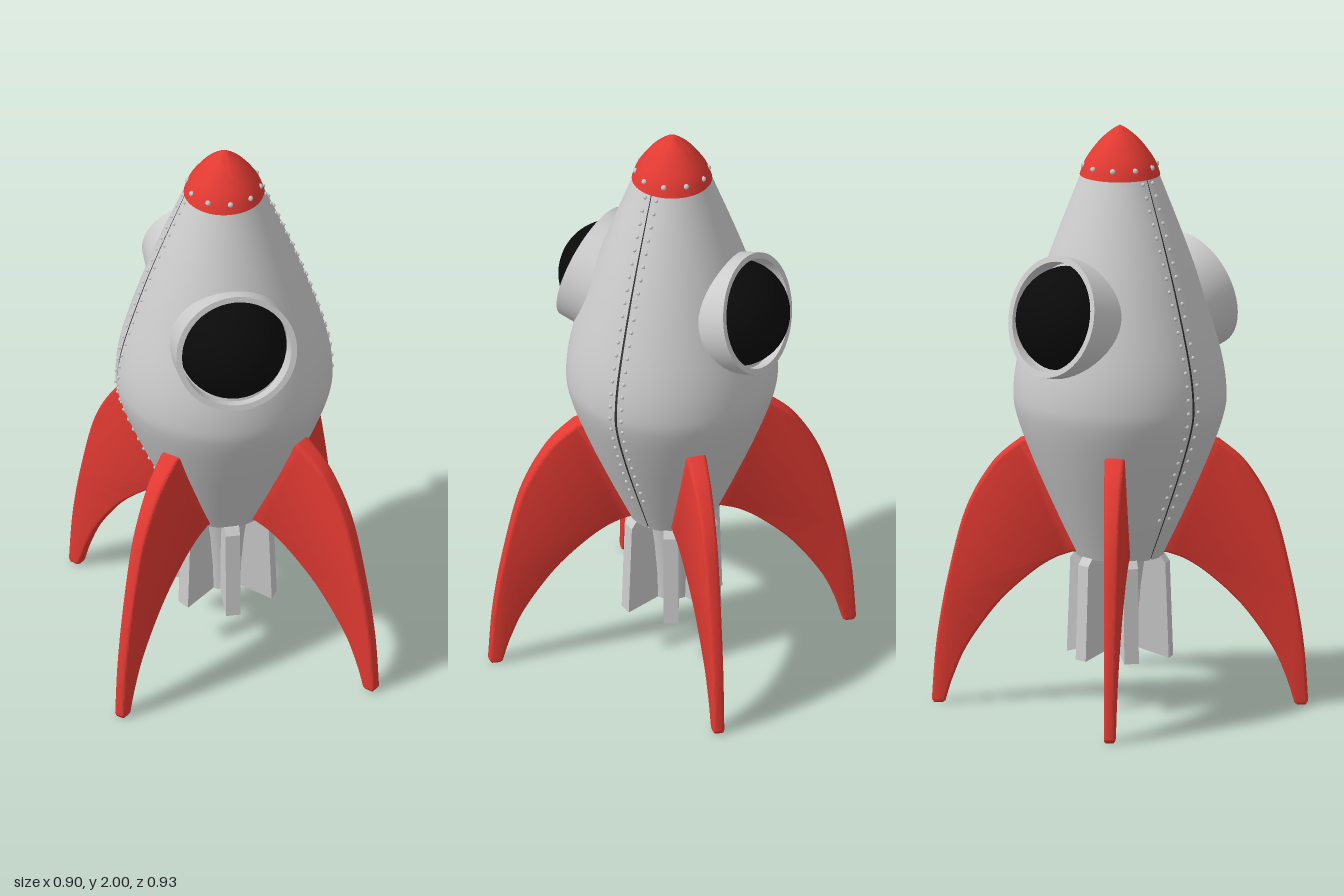
import * as THREE from 'three';
import { mergeGeometries, toCreasedNormals } from 'three/addons/utils/BufferGeometryUtils.js';

const grey = new THREE.MeshStandardMaterial({ color: 0xcccccc });
const greyThin = new THREE.MeshStandardMaterial({ color: 0xcccccc, side: THREE.DoubleSide });
const red = new THREE.MeshStandardMaterial({ color: 0xe23a32 });
const black = new THREE.MeshStandardMaterial({ color: 0x0a0a0a });
const dark = new THREE.MeshStandardMaterial({ color: 0x333333 });

const V = (x, y) => new THREE.Vector2(x, y);
const DEPTH = 0.965; // hull is slightly narrower in z than in x

function add(parent, name, geometry, material) {
  const mesh = new THREE.Mesh(geometry, material);
  mesh.name = name;
  parent.add(mesh);
  return mesh;
}

const hullCurve = new THREE.SplineCurve([
  V(0.15, 0.52), V(0.225, 0.68), V(0.3, 0.85), V(0.355, 1.0), V(0.366, 1.09),
  V(0.347, 1.22), V(0.288, 1.42), V(0.225, 1.6), V(0.135, 1.83),
]);

// Two half shells with a narrow seam, closed by a dark liner
function buildHull(root) {
  const profile = [V(0, 0.52), ...hullCurve.getPoints(40)];
  const gap = 0.012;
  for (const [name, start] of [['frontHull', -Math.PI / 2], ['backHull', Math.PI / 2]]) {
    const g = new THREE.LatheGeometry(profile, 40, start + gap, Math.PI - 2 * gap);
    add(root, name, toCreasedNormals(g, 0.7), greyThin).scale.z = DEPTH;
  }
  const inner = profile.map((p) => V(p.x * 0.97, p.y + 0.003));
  add(root, 'hullLiner', new THREE.LatheGeometry(inner, 48), dark).scale.z = DEPTH;

  // Double row of rivets beside each seam
  const rivets = [];
  for (let i = 0; i < 27; i++) {
    const p = hullCurve.getPointAt(0.12 + (0.87 * i) / 26);
    for (const sx of [-1, 1]) for (const sz of [-1, 1]) {
      const x = Math.sqrt(p.x * p.x - 0.022 * 0.022);
      rivets.push(new THREE.SphereGeometry(0.007, 8, 6).translate(sx * x, p.y, sz * 0.022));
    }
  }
  add(root, 'seamRivets', mergeGeometries(rivets), grey);
}

// Pointed cap with a ring of rivets
function buildNose(root) {
  const curve = new THREE.SplineCurve([V(0.136, 1.83), V(0.117, 1.88), V(0.07, 1.945), V(0.025, 1.985), V(0, 2)]);
  const profile = [V(0, 1.83), ...curve.getPoints(16)];
  add(root, 'noseCone', toCreasedNormals(new THREE.LatheGeometry(profile, 48), 0.8), red);
  const rivets = [];
  for (let i = 0; i < 10; i++) {
    const a = (i / 10) * Math.PI * 2;
    rivets.push(new THREE.SphereGeometry(0.01, 8, 6).translate(Math.sin(a) * 0.123, 1.863, Math.cos(a) * 0.123));
  }
  add(root, 'noseRivets', mergeGeometries(rivets), grey);
}

// Tilted porthole: round frame and bulging dark glass
function buildWindow(root, name, side) {
  const group = new THREE.Group();
  group.name = name;
  group.position.set(-0.015, 1.388, side * 0.328);
  group.rotation.x = side * (Math.PI / 2 - 0.258);
  const frame = [V(0.207, -0.16), V(0.207, 0), V(0.187, 0), V(0.187, -0.16), V(0.207, -0.16)];
  add(group, 'windowFrame', toCreasedNormals(new THREE.LatheGeometry(frame, 48), 0.7), grey);
  const glass = new THREE.SphereGeometry(0.183, 40, 16, 0, Math.PI * 2, 0, Math.PI / 2);
  add(group, 'windowGlass', glass, black).position.y = -0.088;
  root.add(group);
}

// Swept fin, thinning outward, drawn in its own radial plane
function finGeometry() {
  const s = new THREE.Shape();
  s.moveTo(0.1, 0.53);
  s.lineTo(0.16, 0.53);
  s.splineThru([V(0.225, 0.505), V(0.305, 0.45), V(0.41, 0.35), V(0.51, 0.21), V(0.56, 0.1), V(0.588, 0.01)]);
  s.lineTo(0.598, 0.003);
  s.lineTo(0.626, 0.003);
  s.lineTo(0.634, 0.015);
  s.splineThru([V(0.618, 0.22), V(0.58, 0.44), V(0.52, 0.67), V(0.43, 0.83), V(0.335, 0.915)]);
  s.lineTo(0.3, 0.922);
  s.lineTo(0.25, 0.88);
  const g = new THREE.ExtrudeGeometry(s, {
    depth: 0.04, bevelThickness: 0.014, bevelSize: 0.01, bevelOffset: -0.01, bevelSegments: 3, curveSegments: 24,
  });
  g.translate(0, 0, -0.02);
  const p = g.attributes.position;
  for (let i = 0; i < p.count; i++) p.setZ(i, p.getZ(i) * (1 - 1.5 * (p.getX(i) - 0.33)));
  return toCreasedNormals(g, 0.6);
}

// Fluted exhaust: flared core with six vanes
function buildEngine(root) {
  const group = new THREE.Group();
  group.name = 'engine';
  const core = [V(0.022, 0.25), V(0.022, 0.205), V(0.072, 0.205), V(0.075, 0.3), V(0.085, 0.42), V(0.1, 0.53)];
  add(group, 'engineCore', toCreasedNormals(new THREE.LatheGeometry(core, 24), 0.6), grey);
  add(group, 'nozzleBore', new THREE.CylinderGeometry(0.022, 0.022, 0.02, 16), dark).position.y = 0.25;
  const s = new THREE.Shape([
    V(0.02, 0.215), V(0.07, 0.205), V(0.18, 0.175), V(0.168, 0.5), V(0.15, 0.525), V(0.02, 0.525),
  ]);
  const vane = new THREE.ExtrudeGeometry(s, { depth: 0.05, bevelEnabled: false }).translate(0, 0, -0.025);
  for (let i = 0; i < 6; i++) {
    add(group, 'engineVane', vane, grey).rotation.y = Math.PI / 2 + (i * Math.PI) / 3;
  }
  root.add(group);
}

export function createModel() {
  const root = new THREE.Group();
  root.name = 'rocket';
  buildHull(root);
  buildNose(root);
  buildWindow(root, 'frontWindow', 1);
  buildWindow(root, 'backWindow', -1);
  buildEngine(root);
  const fin = finGeometry();
  const a = 0.8;
  for (const angle of [a, -a, Math.PI - a, Math.PI + a]) add(root, 'fin', fin, red).rotation.y = angle;
  return root;
}
